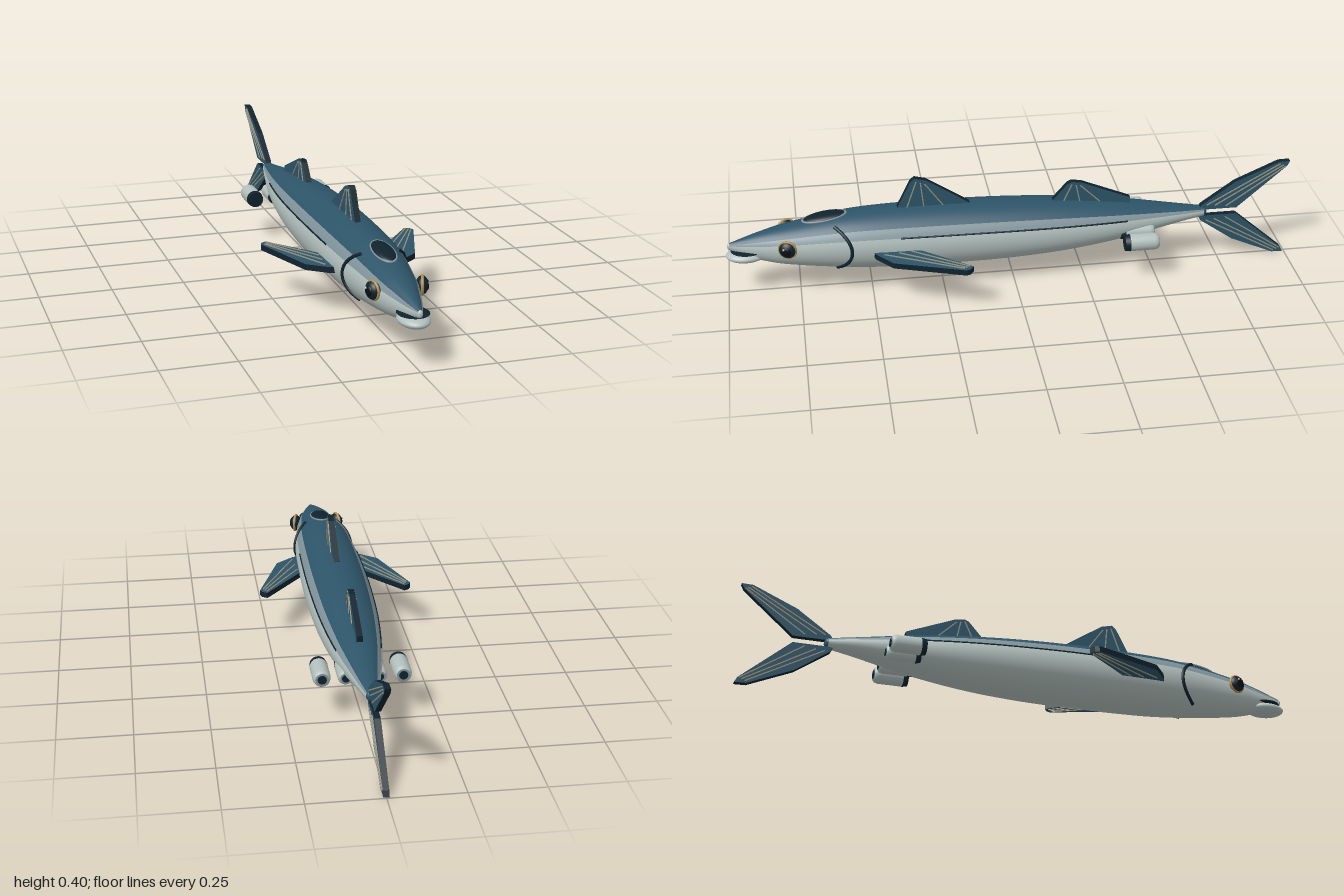
import * as THREE from 'three';

const mat = (name, color, side = THREE.FrontSide) => {
  const m = new THREE.MeshStandardMaterial({ color, side });
  m.name = name;
  return m;
};

// Body stations: z, half width, top y, bottom y
const STATIONS = [
  [0.985, 0.008, 0.207, 0.182], [0.93, 0.03, 0.225, 0.155], [0.88, 0.046, 0.24, 0.138],
  [0.8, 0.07, 0.26, 0.12], [0.6, 0.102, 0.294, 0.096], [0.45, 0.113, 0.304, 0.086],
  [0.2, 0.118, 0.305, 0.083], [0, 0.115, 0.299, 0.086], [-0.2, 0.104, 0.285, 0.1],
  [-0.4, 0.08, 0.262, 0.128], [-0.6, 0.041, 0.231, 0.168], [-0.69, 0.02, 0.218, 0.182],
];

// Smooth interpolation of one station column at a given z
function sample(z, k) {
  const n = STATIONS.length;
  let i = 0;
  while (i < n - 2 && z < STATIONS[i + 1][0]) i++;
  const slope = (j) => {
    const a = STATIONS[Math.max(j - 1, 0)], b = STATIONS[Math.min(j + 1, n - 1)];
    return (b[k] - a[k]) / (b[0] - a[0]);
  };
  const p = STATIONS[i], q = STATIONS[i + 1], h = q[0] - p[0], t = (z - p[0]) / h;
  const t2 = t * t, t3 = t2 * t;
  return (2 * t3 - 3 * t2 + 1) * p[k] + (t3 - 2 * t2 + t) * h * slope(i)
    + (3 * t2 - 2 * t3) * q[k] + (t3 - t2) * h * slope(i + 1);
}

// Point on the skin; the angle runs from +x up to +y
function skin(z, deg, grow = 0) {
  const a = THREE.MathUtils.degToRad(deg), top = sample(z, 2), bottom = sample(z, 3);
  return new THREE.Vector3(Math.cos(a) * (sample(z, 1) + grow),
    (top + bottom) / 2 + Math.sin(a) * ((top - bottom) / 2 + grow), z);
}

// Lengthwise strip of the body between two angles
function skinStrip(from, to) {
  const rows = 72, cols = Math.ceil((to - from) / 6), pos = [], index = [];
  for (let r = 0; r <= rows; r++) {
    const z = 0.985 - (1.675 * r) / rows;
    for (let c = 0; c <= cols; c++) pos.push(...skin(z, from + ((to - from) * c) / cols).toArray());
  }
  for (let r = 0; r < rows; r++) {
    for (let c = 0; c < cols; c++) {
      const a = r * (cols + 1) + c, b = a + cols + 1;
      index.push(a, a + 1, b, a + 1, b + 1, b);
    }
  }
  const g = new THREE.BufferGeometry();
  g.setAttribute('position', new THREE.Float32BufferAttribute(pos, 3));
  g.setIndex(index);
  g.computeVertexNormals();
  // Reverse if the winding came out facing inward
  const mid = Math.floor(rows / 2) * (cols + 1) + Math.floor(cols / 2);
  const p = new THREE.Vector3().fromBufferAttribute(g.attributes.position, mid);
  const n = new THREE.Vector3().fromBufferAttribute(g.attributes.normal, mid);
  if (n.x * p.x + n.y * (p.y - 0.194) < 0) {
    g.setIndex(index.reverse());
    g.computeVertexNormals();
  }
  return g;
}

export function createModel() {
  const model = new THREE.Group();
  const blue = mat('back blue', 0x2d5468), grey = mat('flank grey', 0x80939a);
  const silver = mat('belly silver', 0xb2c0bd), navy = mat('trim navy', 0x10222d);
  const gold = mat('eye gold', 0xb08d4f), black = mat('pupil black', 0x0a0f14);
  const ray = mat('ray tan', 0x93917f);

  const add = (name, geometry, material, parent = model) => {
    const m = new THREE.Mesh(geometry, material);
    m.name = name;
    parent.add(m);
    return m;
  };
  const ellipsoid = (x, y, z) => new THREE.SphereGeometry(1, 32, 20).scale(x, y, z);
  const tube = (points, r) =>
    new THREE.TubeGeometry(new THREE.CatmullRomCurve3(points), 40, r, 8);

  // Body skin
  add('back', skinStrip(40, 140), blue);
  add('leftFlank', skinStrip(22, 40), grey);
  add('rightFlank', skinStrip(140, 158), grey);
  add('belly', skinStrip(158, 382), silver);
  add('noseTip', ellipsoid(0.009, 0.013, 0.008), silver).position.set(0, 0.194, 0.985);
  add('tailStem', ellipsoid(0.019, 0.018, 0.012), blue).position.set(0, 0.2, -0.69);

  // Mouth
  add('lowerJaw', ellipsoid(0.05, 0.021, 0.07), silver).position.set(0, 0.158, 0.93);
  add('mouthLine', ellipsoid(0.051, 0.004, 0.058), navy).position.set(0, 0.178, 0.925);

  // Canopy on the head
  const canopy = new THREE.Group();
  canopy.name = 'canopy';
  canopy.position.set(0, 0.286, 0.655);
  canopy.rotation.x = 0.15;
  add('canopyGlass', ellipsoid(0.034, 0.013, 0.074), navy, canopy);
  add('canopyRim', new THREE.TorusGeometry(1, 0.07, 8, 40).rotateX(Math.PI / 2)
    .scale(0.035, 0.05, 0.075), grey, canopy);
  model.add(canopy);

  // Flat fin: outline and rays in its own plane, rays proud of both faces
  const fin = (name, outline, rays) => {
    const g = new THREE.Group();
    g.name = name;
    const shape = new THREE.Shape(outline.map(([x, y]) => new THREE.Vector2(x, y)));
    add(name + 'Blade', new THREE.ExtrudeGeometry(shape, { depth: 0.02, bevelEnabled: false })
      .translate(0, 0, -0.01), [blue, navy], g);
    for (const [x0, y0, x1, y1] of rays) {
      const dx = x1 - x0, dy = y1 - y0;
      const bar = add(name + 'Ray', new THREE.BoxGeometry(Math.hypot(dx, dy), 0.004, 0.026), ray, g);
      bar.position.set((x0 + x1) / 2, (y0 + y1) / 2, 0);
      bar.rotation.z = Math.atan2(dy, dx);
    }
    model.add(g);
    return g;
  };

  // Upright fins, drawn with x running toward the tail
  const upright = (...args) => { fin(...args).rotation.y = Math.PI / 2; };
  upright('frontDorsalFin',
    [[-0.41, 0.29], [-0.355, 0.4], [-0.34, 0.413], [-0.3, 0.403], [-0.15, 0.305], [-0.15, 0.29]],
    [[-0.37, 0.3, -0.335, 0.4], [-0.31, 0.3, -0.32, 0.395], [-0.24, 0.3, -0.305, 0.39]]);
  upright('rearDorsalFin',
    [[0.14, 0.27], [0.14, 0.287], [0.195, 0.35], [0.21, 0.357], [0.245, 0.352], [0.42, 0.28], [0.42, 0.25]],
    [[0.18, 0.28, 0.21, 0.348], [0.24, 0.275, 0.225, 0.345], [0.31, 0.275, 0.24, 0.342]]);
  for (const s of [1, -1]) {
    const flip = ([x, y]) => [x, 0.196 + s * y];
    upright(s > 0 ? 'upperTailFin' : 'lowerTailFin',
      [[0.67, 0.012], [0.68, 0.03], [0.8, 0.115], [0.955, 0.183], [0.995, 0.184], [0.985, 0.165],
        [0.81, 0.012]].map(flip),
      [[0.7, 0.03, 0.96, 0.176], [0.73, 0.027, 0.972, 0.171], [0.77, 0.022, 0.98, 0.166]]
        .map(([a, b, c, d]) => [...flip([a, b]), ...flip([c, d])]));
  }

  for (const s of [1, -1]) {
    const side = s > 0 ? 'left' : 'right';

    // Pectoral fin lying flat
    const pectoral = fin(side + 'PectoralFin',
      [[0.09, -0.5], [0.125, -0.487], [0.19, -0.435], [0.274, -0.195], [0.268, -0.18], [0.25, -0.168],
        [0.115, -0.335], [0.09, -0.36]].map(([x, y]) => [s * x, y]),
      [[0.13, -0.46, 0.262, -0.2], [0.125, -0.41, 0.257, -0.19], [0.12, -0.365, 0.25, -0.18]]
        .map(([a, b, c, d]) => [s * a, b, s * c, d]));
    pectoral.rotation.x = -Math.PI / 2;
    pectoral.position.y = 0.18;

    // Gill arc and lateral line follow the skin
    const gill = [], line = [];
    for (let i = 0; i <= 12; i++) {
      const a = -52 + (106 * i) / 12, z = 0.4 - (0.8 * i) / 12;
      gill.push(skin(0.62 - 0.052 * Math.cos((a * Math.PI) / 104), s > 0 ? a : 180 - a, 0.002));
      line.push(skin(z, s > 0 ? 22 : 158));
    }
    add(side + 'GillArc', tube(gill, 0.006), navy);
    add(side + 'LateralLine', tube(line, 0.003), navy);

    // Eye looking outward and slightly forward
    const eye = new THREE.Group();
    eye.name = side + 'Eye';
    eye.position.set(s * 0.081, 0.21, 0.787);
    eye.rotation.y = s * 1.25;
    add('eyeball', ellipsoid(0.03, 0.03, 0.02), navy, eye);
    add('eyeRing', new THREE.TorusGeometry(0.029, 0.005, 10, 36), gold, eye);
    add('pupil', ellipsoid(0.017, 0.017, 0.006), black, eye).position.z = 0.016;
    add('eyeGlint', ellipsoid(0.004, 0.004, 0.003), silver, eye).position.set(-0.008, 0.01, 0.021);
    model.add(eye);

    // Outer and inner thruster pods
    for (const [label, x, r] of [['Outer', 0.134, 0.03], ['Inner', 0.056, 0.026]]) {
      const pod = new THREE.Group();
      pod.name = side + label + 'Pod';
      pod.position.set(s * x, 0.168, -0.44);
      const profile = [[0.7, -0.058], [0.9, -0.054], [1, -0.042], [1, 0.04], [0.95, 0.046]]
        .map(([k, y]) => new THREE.Vector2(k * r, y));
      add('podShell', new THREE.LatheGeometry(profile, 28).rotateX(Math.PI / 2), silver, pod);
      add('podIntake', new THREE.CylinderGeometry(r * 0.92, r * 1.01, 0.018, 28)
        .rotateX(Math.PI / 2), navy, pod).position.z = 0.053;
      add('podNozzle', new THREE.CylinderGeometry(r * 0.72, r * 0.72, 0.01, 28)
        .rotateX(Math.PI / 2), grey, pod).position.z = -0.054;
      add('podNozzleCore', new THREE.CylinderGeometry(r * 0.5, r * 0.5, 0.004, 24)
        .rotateX(Math.PI / 2), navy, pod).position.z = -0.059;
      model.add(pod);
    }
  }
  return model;
}
